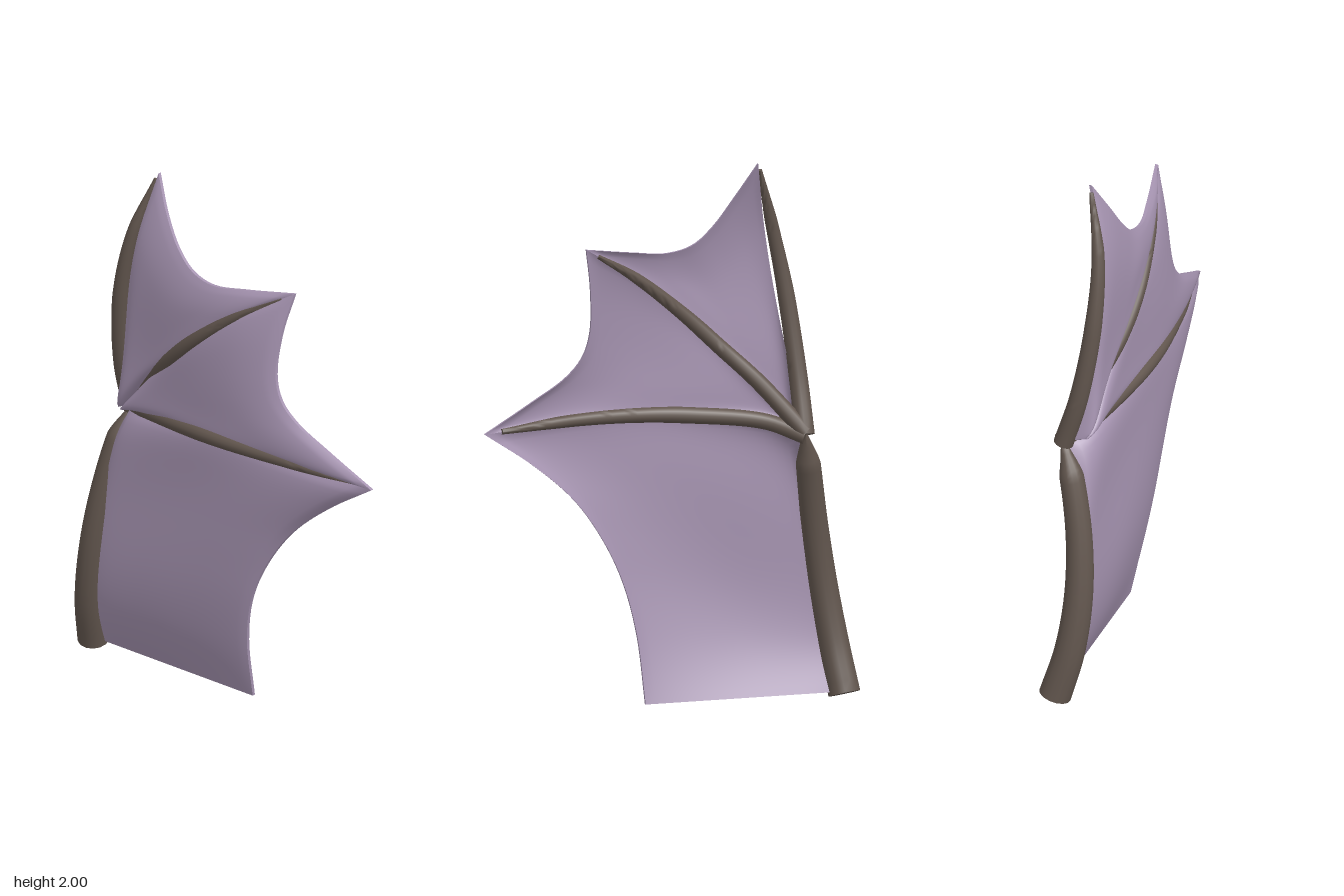
import * as THREE from 'three';
import { ParametricGeometry } from 'three/addons/geometries/ParametricGeometry.js';
import { toCreasedNormals } from 'three/addons/utils/BufferGeometryUtils.js';

const curve = (pts) => new THREE.CatmullRomCurve3(pts.map((p) => new THREE.Vector3(...p)));
const WRIST = [0.065, 1.0, -0.5];

// Piecewise linear radius from [position, radius] stops
function radiusAt(stops, t) {
  for (let i = 1; i < stops.length; i++) {
    const [a, ra] = stops[i - 1], [b, rb] = stops[i];
    if (t <= b) return THREE.MathUtils.lerp(ra, rb, (t - a) / (b - a));
  }
  return stops[stops.length - 1][1];
}

// Tapered tube; the outermost rings collapse into flat end caps
function boneGeometry(path, stops, rings = 48, sides = 14) {
  const geo = new THREE.TubeGeometry(path, rings, 1, sides, false);
  const pos = geo.attributes.position, v = new THREE.Vector3();
  for (let i = 0; i <= rings; i++) {
    const t = i <= 1 ? 0 : i >= rings - 1 ? 1 : i / rings;
    const radius = i === 0 || i === rings ? 0 : radiusAt(stops, t);
    const from = path.getPointAt(i / rings), to = path.getPointAt(t);
    for (let j = 0; j <= sides; j++) {
      const k = i * (sides + 1) + j;
      v.fromBufferAttribute(pos, k).sub(from).multiplyScalar(radius).add(to);
      pos.setXYZ(k, v.x, v.y, v.z);
    }
  }
  return toCreasedNormals(geo, 0.9);
}

// Surface spanning four edges: a and b run along u, c and d run along v.
// The inside sags towards a common depth, by an amount given by sag(u, v).
function spanEdges(a, b, c, d, sag) {
  const corner = [a.getPointAt(0), a.getPointAt(1), b.getPointAt(0), b.getPointAt(1)];
  return (u, v, out) => {
    out.set(0, 0, 0)
      .addScaledVector(a.getPointAt(u), 1 - v).addScaledVector(b.getPointAt(u), v)
      .addScaledVector(c.getPointAt(v), 1 - u).addScaledVector(d.getPointAt(v), u)
      .addScaledVector(corner[0], -(1 - u) * (1 - v)).addScaledVector(corner[1], -u * (1 - v))
      .addScaledVector(corner[2], -(1 - u) * v).addScaledVector(corner[3], -u * v);
    out.x = THREE.MathUtils.lerp(out.x, -0.05, sag(u, v));
  };
}

// Sag is strongest near the wrist and fades to nothing on every edge
const hump = (t) => Math.sqrt(Math.max(0, Math.sin(Math.PI * t)));
const fingerSag = (u, v) => hump(Math.sqrt(u)) * hump(v);
const armSag = (u, v) => hump(Math.sqrt(u)) * hump(v * v);

// Thin skin panel: two sheets and a rim
function membranePanel(name, surface, material) {
  const group = new THREE.Group(), half = 0.006;
  group.name = name;
  const add = (part, fn, nu, nv) => {
    const geo = new ParametricGeometry(fn, nu, nv);
    geo.computeVertexNormals();
    const mesh = new THREE.Mesh(geo, material);
    mesh.name = part;
    group.add(mesh);
  };
  for (const side of [-1, 1]) {
    add(side > 0 ? 'leftSheet' : 'rightSheet', (u, v, out) => {
      surface(u, v, out);
      out.x += side * half;
    }, 36, 36);
  }
  const rims = [(s) => [s, 0], (s) => [s, 1], (s) => [1, s]];
  for (const rim of rims) {
    add('rim', (s, w, out) => {
      surface(...rim(s), out);
      out.x += (w * 2 - 1) * half;
    }, 36, 1);
  }
  return group;
}

export function createModel() {
  const model = new THREE.Group();
  model.name = 'wing';
  const bone = new THREE.MeshStandardMaterial({ color: 0x62564e });
  bone.name = 'brownBone';
  const skin = new THREE.MeshStandardMaterial({ color: 0xa694b1, side: THREE.DoubleSide });
  skin.name = 'mauveMembrane';

  // Bone paths, running outward from the wrist
  const fingerMid2 = [[0.0, 1.185, -0.34], [-0.04, 1.31, -0.21], [-0.05, 1.44, -0.07], [-0.015, 1.59, 0.12]];
  const fingerMid3 = [[0.0, 1.035, -0.37], [-0.042, 1.065, -0.1], [-0.046, 1.075, 0.1], [-0.012, 1.075, 0.36]];
  const armPoints = [[0.022, 0.014, -0.662], [-0.025, 0.2, -0.635], [-0.045, 0.42, -0.6],
    [-0.03, 0.65, -0.563], [0.018, 0.88, -0.525], [0.06, 0.99, -0.5]];
  const bones = {
    arm: [armPoints, [[0, 0.06], [0.88, 0.046], [1, 0.01]]],
    upperFinger: [[[0.06, 0.99, -0.5], [0.0, 1.2, -0.492], [-0.042, 1.5, -0.458], [-0.036, 1.75, -0.405],
      [0.02, 1.975, -0.34]], [[0, 0.037], [0.5, 0.032], [0.8, 0.023], [1, 0.008]]],
    middleFinger: [[WRIST, ...fingerMid2, [0.042, 1.69, 0.285]],
      [[0, 0.032], [0.5, 0.028], [0.8, 0.021], [1, 0.008]]],
    lowerFinger: [[[0.07, 0.985, -0.5], ...fingerMid3, [0.055, 1.06, 0.655]],
      [[0, 0.03], [0.4, 0.031], [0.8, 0.022], [1, 0.01]]],
  };
  for (const [name, [points, stops]] of Object.entries(bones)) {
    const mesh = new THREE.Mesh(boneGeometry(curve(points), stops), bone);
    mesh.name = name;
    model.add(mesh);
  }

  // Membrane edges along the fingers and arm
  const tip1 = [0.028, 2.0, -0.33], tip2 = [0.06, 1.72, 0.335], tip3 = [0.065, 1.055, 0.725];
  const corner = [0.07, 0.022, 0.112], root = [0.022, 0.022, -0.64];
  const edge1 = curve([WRIST, [0.0, 1.2, -0.466], [-0.045, 1.5, -0.415], [-0.038, 1.75, -0.373], tip1]);
  const edge2 = curve([WRIST, ...fingerMid2, tip2]);
  const edge3 = curve([WRIST, ...fingerMid3, tip3]);
  const armEdge = curve([root, ...armPoints.slice(1, -1), WRIST]);
  const bottomEdge = curve([root, [0.046, 0.022, -0.264], corner]);
  const wristPoint = { getPointAt: () => new THREE.Vector3(...WRIST) };

  // Scalloped outer edges
  const scallop1 = curve([tip1, [-0.01, 1.87, -0.25], [-0.028, 1.765, -0.175], [-0.032, 1.7, -0.1],
    [-0.028, 1.675, 0.0], [0.005, 1.69, 0.14], tip2]);
  const scallop2 = curve([tip2, [0.02, 1.56, 0.307], [-0.004, 1.4, 0.302], [-0.006, 1.31, 0.33],
    [0.004, 1.24, 0.395], [0.03, 1.155, 0.54], tip3]);
  const trailing = curve([corner, [0.022, 0.27, 0.13], [0.0, 0.46, 0.175], [0.002, 0.62, 0.25],
    [0.018, 0.78, 0.365], [0.04, 0.92, 0.525], tip3]);

  const panels = {
    upperMembrane: [edge1, edge2, wristPoint, scallop1, fingerSag],
    middleMembrane: [edge2, edge3, wristPoint, scallop2, fingerSag],
    lowerMembrane: [bottomEdge, edge3, armEdge, trailing, armSag],
  };
  for (const [name, edges] of Object.entries(panels)) {
    model.add(membranePanel(name, spanEdges(...edges), skin));
  }
  return model;
}
